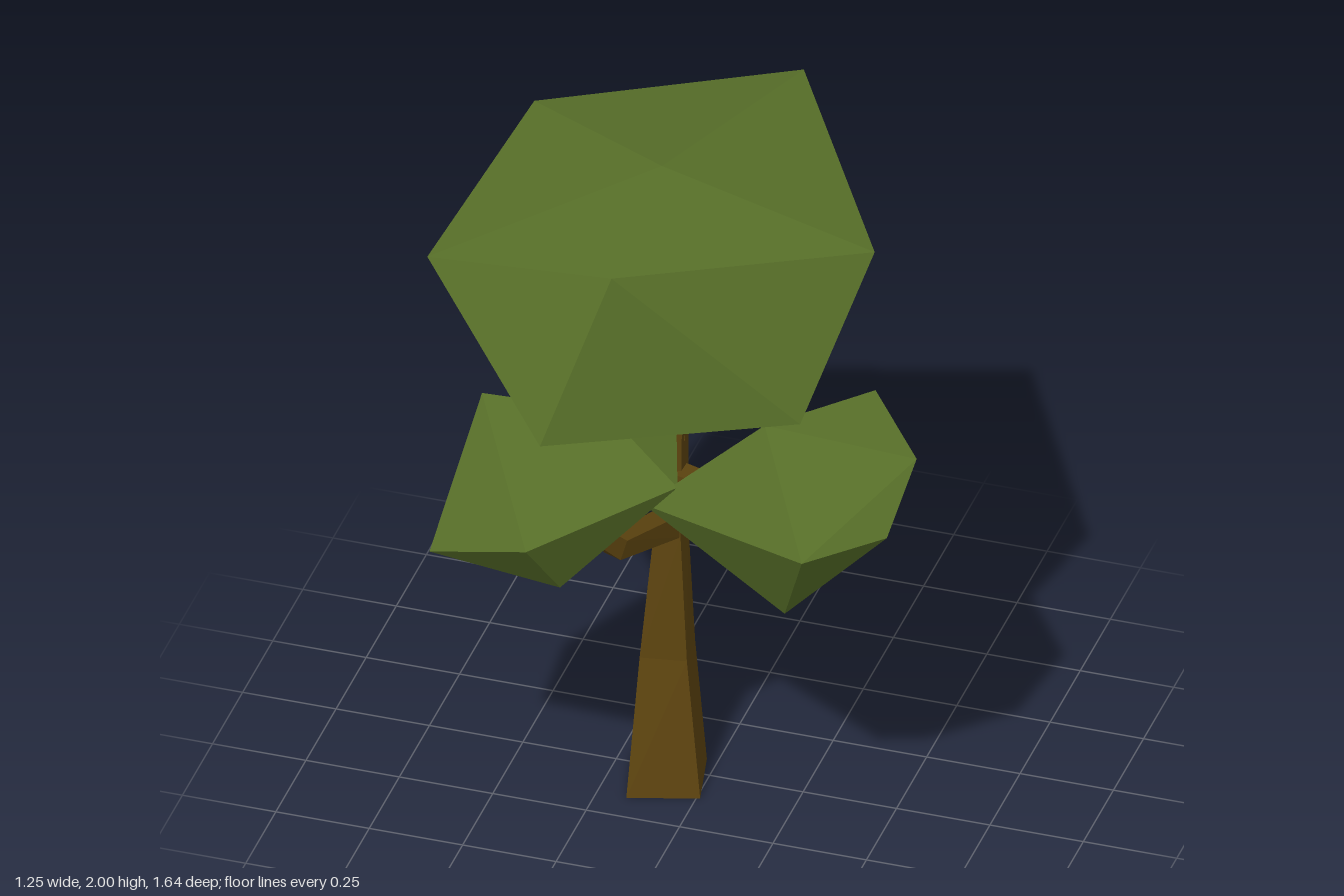
import * as THREE from 'three';
import { ConvexGeometry } from 'three/addons/geometries/ConvexGeometry.js';

const bark = new THREE.MeshStandardMaterial({ color: 0x5c430f, flatShading: true });
const leaf = new THREE.MeshStandardMaterial({ color: 0x587029, flatShading: true });
const V = (p) => new THREE.Vector3(...p);

// Skin between successive four-cornered rings, closed at both ends
function loft(rings) {
  const pos = [];
  const quad = (a, b, c, d) => [a, b, c, a, c, d].forEach((p) => pos.push(p.x, p.y, p.z));
  for (let i = 0; i < rings.length - 1; i++) {
    for (let j = 0; j < 4; j++) {
      const k = (j + 1) % 4;
      quad(rings[i][j], rings[i][k], rings[i + 1][k], rings[i + 1][j]);
    }
  }
  const first = rings[0], last = rings[rings.length - 1];
  quad(first[3], first[2], first[1], first[0]);
  quad(...last);
  const geo = new THREE.BufferGeometry();
  geo.setAttribute('position', new THREE.Float32BufferAttribute(pos, 3));
  geo.computeVertexNormals();
  return geo;
}

// Square limb along a bent path, tapering from r0 to r1
function limb(path, r0, r1) {
  const pts = path.map(V);
  return loft(pts.map((p, i) => {
    const d = pts[Math.min(i + 1, pts.length - 1)].clone().sub(pts[Math.max(i - 1, 0)]).normalize();
    const side = new THREE.Vector3(0, 1, 0).cross(d).normalize();
    const up = d.clone().cross(side);
    const r = THREE.MathUtils.lerp(r0, r1, i / (pts.length - 1));
    return [[1, 1], [-1, 1], [-1, -1], [1, -1]].map(([a, b]) =>
      p.clone().addScaledVector(side, a * r).addScaledVector(up, b * r));
  }));
}

export function createModel() {
  const tree = new THREE.Group();
  tree.name = 'tree';
  const add = (name, geo, mat) => {
    const mesh = new THREE.Mesh(geo, mat);
    mesh.name = name;
    tree.add(mesh);
  };

  // Flared four-sided trunk: rings at rising heights
  const trunk = [
    [0, [-0.17, 0.165], [0.01, 0.11], [-0.03, -0.07], [-0.22, -0.03]],
    [0.37, [-0.165, 0.07], [-0.045, 0.05], [-0.055, -0.05], [-0.16, -0.03]],
    [0.73, [-0.14, 0.03], [-0.07, 0.025], [-0.07, -0.04], [-0.135, -0.03]],
    [1.32, [-0.12, 0.025], [-0.065, 0.02], [-0.065, -0.025], [-0.12, -0.025]],
  ];
  add('trunk', loft(trunk.map(([y, ...ring]) => ring.map(([x, z]) => V([x, y, z])))), bark);

  // Branches reaching into the clumps
  add('rightBranch', limb([[-0.1, 0.755, 0], [-0.17, 0.82, 0.25], [-0.27, 1.0, 0.4]], 0.033, 0.02), bark);
  add('leftBranch', limb([[-0.1, 0.89, 0], [0.1, 0.93, 0.1], [0.25, 1.05, 0.2]], 0.033, 0.02), bark);
  add('backBranch', limb([[-0.1, 1.04, 0], [-0.18, 0.935, -0.28], [-0.28, 1.07, -0.48]], 0.033, 0.02), bark);
  add('crownBranch', limb([[-0.1, 1.12, 0], [-0.16, 1.22, 0.01], [-0.2, 1.34, 0.02]], 0.025, 0.02), bark);

  // Faceted foliage clumps, each the hull of a few corners
  const clumps = {
    crownFoliage: [
      [-0.05, 2, 0.24], [-0.05, 1.92, 0.66], [-0.19, 1.48, 0.82], [0.49, 1.79, 0.15],
      [-0.63, 1.7, 0.39], [0.11, 1.9, -0.44], [-0.55, 1.79, -0.25], [0.4, 1.46, 0.49],
      [-0.4, 1.52, -0.6], [-0.62, 1.42, 0.1], [0.2, 1.37, -0.3], [-0.09, 1.22, 0.04],
    ],
    backFoliage: [
      [-0.3, 1.07, -0.82], [-0.02, 1.41, -0.77], [-0.48, 1.33, -0.59], [-0.31, 1.53, -0.6],
      [0.21, 1.4, -0.29], [0.07, 1.25, -0.59], [-0.12, 1.58, -0.48], [-0.14, 0.98, -0.48],
      [0.05, 1.1, -0.1], [0.19, 1.22, -0.17], [-0.47, 1.21, -0.54], [-0.41, 1.32, -0.4],
    ],
    rightFoliage: [
      [-0.49, 1.3, 0.37], [-0.56, 0.94, 0.59], [-0.585, 0.93, 0.31], [-0.22, 0.88, 0.56],
      [-0.26, 1.08, 0.72], [0.03, 1.11, 0.36], [-0.2, 1.23, 0.25], [-0.24, 0.91, 0.2],
      [-0.4, 0.93, 0.1], [-0.44, 1.06, 0.09], [-0.05, 1.12, 0.12],
    ],
    leftFoliage: [
      [0.26, 1.34, 0.35], [0.46, 1.3, 0.05], [0.625, 1.23, 0.22], [0.6, 1.09, 0.39],
      [0.43, 1.09, 0.57], [0.32, 0.79, 0.37], [0.2, 0.83, 0.13], [0.35, 1.02, -0.1],
      [-0.06, 1.04, 0.36], [0.18, 1.15, 0.13],
    ],
  };
  for (const [name, corners] of Object.entries(clumps)) {
    add(name, new ConvexGeometry(corners.map(V)), leaf);
  }
  return tree;
}
